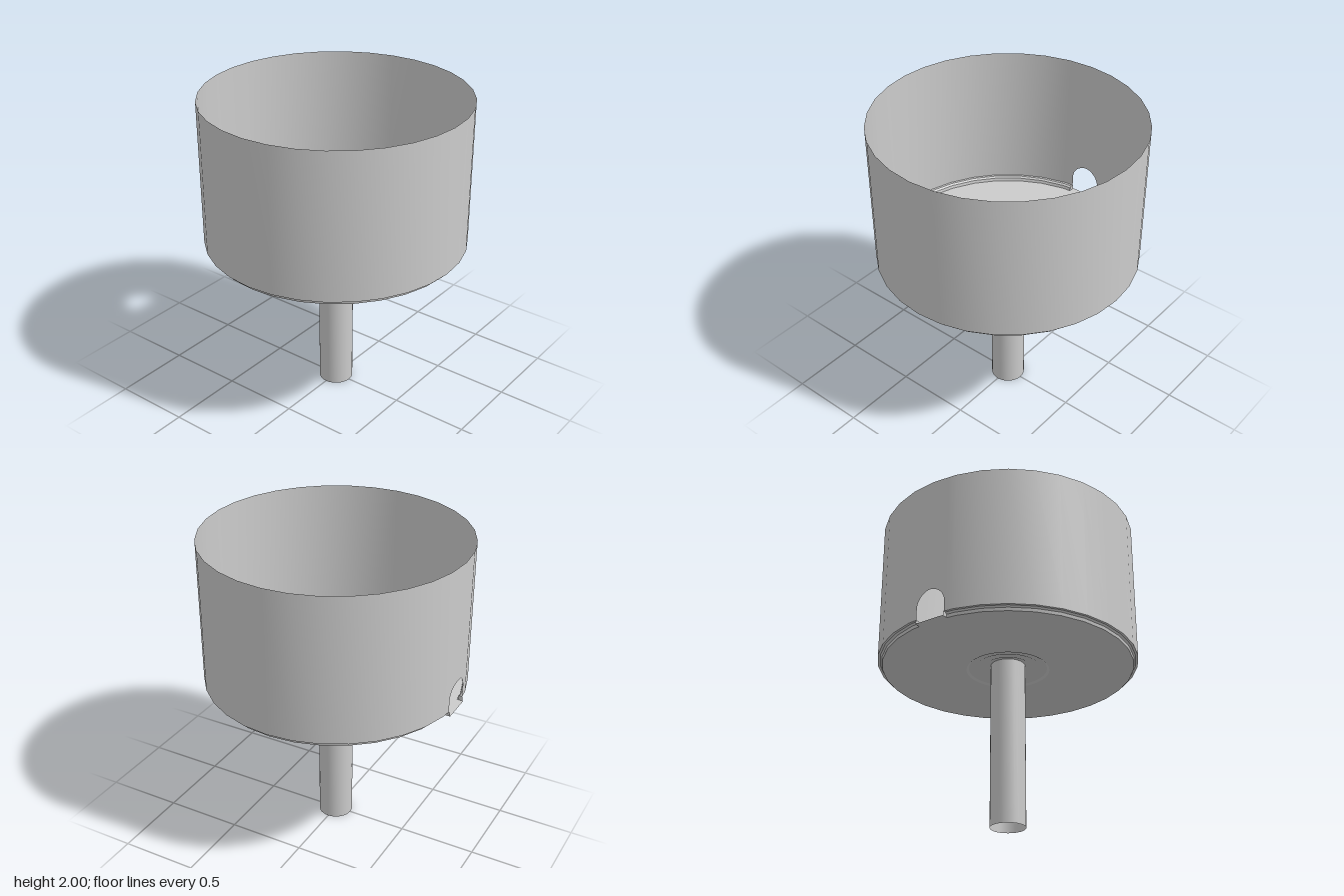
import * as THREE from 'three';
import { toCreasedNormals } from 'three/addons/utils/BufferGeometryUtils.js';

const SEGMENTS = 32;
const R = 0.83;          // cup radius
const FLOOR = 1.04;      // floor height
const LEDGE = 1.07;      // where the wall starts
const TOP = 2;
const HALF = 0.1;        // half width of the drain opening
const ARCH = 1.14;       // height where the opening's arch springs
const SLOPE = Math.tan(Math.PI / SEGMENTS); // slant of the two facets beside -x

const material = new THREE.MeshStandardMaterial({ color: 0xcccccc, side: THREE.DoubleSide });

function part(name, geometry) {
  const mesh = new THREE.Mesh(geometry, material);
  mesh.name = name;
  return mesh;
}

// Turned surface; with a gap, its seam at -x is opened to the drain width.
function turned(profile, gap = false) {
  const points = profile.map(([r, y]) => new THREE.Vector2(r, y));
  const geometry = new THREE.LatheGeometry(points, SEGMENTS, -Math.PI / 2);
  if (gap) {
    const pos = geometry.attributes.position;
    points.forEach((p, i) => {
      const x = -p.x + HALF * SLOPE;
      pos.setXYZ(i, x, p.y, HALF);
      pos.setXYZ(SEGMENTS * points.length + i, x, p.y, -HALF);
    });
  }
  return toCreasedNormals(geometry, 0.5);
}

// Half of the wall strip above the drain arch, laid on its slanted facet.
function archPanel(side) {
  const shape = new THREE.Shape();
  shape.moveTo(HALF, TOP);
  shape.lineTo(HALF, ARCH);
  shape.absarc(0, ARCH, HALF, 0, Math.PI / 2, false);
  shape.lineTo(0, TOP);
  const geometry = new THREE.ShapeGeometry(shape, 8);
  const pos = geometry.attributes.position;
  for (let i = 0; i < pos.count; i++) {
    const z = pos.getX(i);
    pos.setXYZ(i, -R + z * SLOPE, pos.getY(i), z * side);
  }
  // keep the faces pointing outwards on both halves
  if (side < 0) geometry.index.array.reverse();
  geometry.computeVertexNormals();
  return geometry;
}

export function createModel() {
  const model = new THREE.Group();
  model.name = 'cupOnStem';

  // Cup wall, open at the top and at the drain
  model.add(part('wall', turned([[R, LEDGE], [R, TOP]], true)));

  // Stepped rim joining the wall to the floor
  model.add(part('rim', turned([[0.8, FLOOR], [0.804, 1.06], [0.815, LEDGE], [R, LEDGE]], true)));

  // Floor with three shallow steps rising to the central hole
  model.add(part('floor', turned([
    [0.11, 1.07], [0.13, 1.07], [0.15, 1.06], [0.195, 1.06],
    [0.215, 1.05], [0.25, 1.05], [0.265, FLOOR], [0.8, FLOOR],
  ].reverse())));

  // Hollow stem
  model.add(part('stem', turned([[0.11, 0], [0.11, 1.07]])));

  // Drain: flat spout, its low cheeks and the arch over it
  const spout = part('drainSpout', new THREE.PlaneGeometry(0.04, 2 * HALF).rotateX(-Math.PI / 2));
  spout.position.set(-0.81, FLOOR, 0);
  model.add(spout);
  for (const side of [1, -1]) {
    model.add(part('drainArch', archPanel(side)));
    const cheek = part('drainCheek', new THREE.PlaneGeometry(0.03, LEDGE - FLOOR));
    cheek.position.set(-0.81, (LEDGE + FLOOR) / 2, side * HALF);
    model.add(cheek);
  }
  return model;
}
